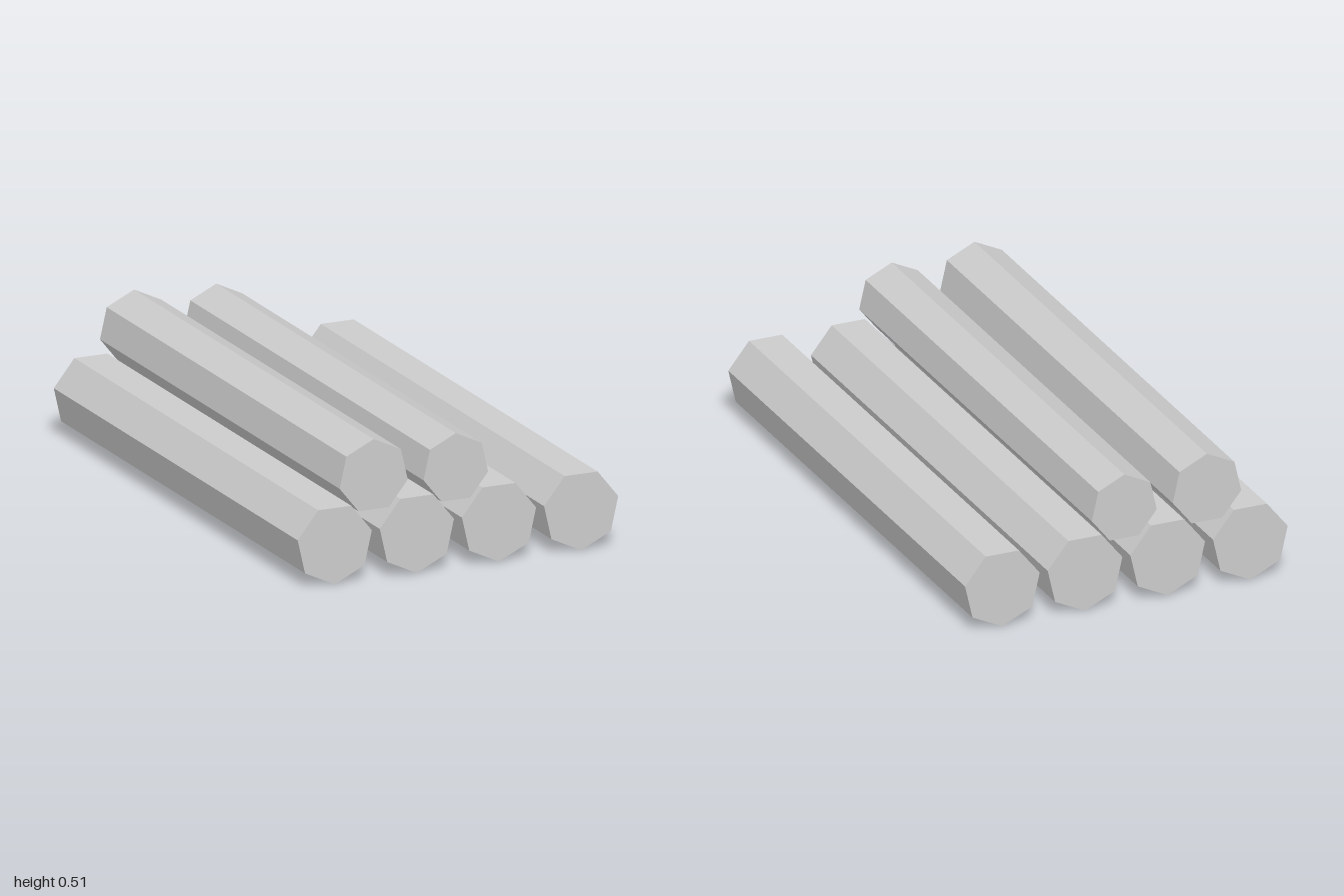
import * as THREE from 'three';

const SIDES = 7;

export function createModel() {
  const model = new THREE.Group();
  model.name = 'logPile';
  const material = new THREE.MeshStandardMaterial({ color: 0xcccccc, flatShading: true });

  // Seven-sided log lying along z, with one corner pointing straight down or up
  function addLog(name, x, y, radius, length, cornerUp) {
    const geometry = new THREE.CylinderGeometry(
      radius, radius, length, SIDES, 1, false, cornerUp ? Math.PI : 0);
    geometry.rotateX(Math.PI / 2);
    const log = new THREE.Mesh(geometry, material);
    log.name = name;
    log.position.set(x, y, 0);
    model.add(log);
  }

  // Bottom row: four evenly spaced logs resting on a corner
  const radius = 0.147, spacing = 0.3175;
  for (let i = 0; i < 4; i++) {
    addLog(`bottomLog${i + 1}`, (i - 1.5) * spacing, radius, radius, 2, false);
  }

  // Top row: two thinner, slightly shorter logs in the gaps
  addLog('topLog1', -spacing, 0.371, 0.135, 1.965, true);
  addLog('topLog2', 0, 0.358, 0.128, 1.965, true);

  return model;
}
